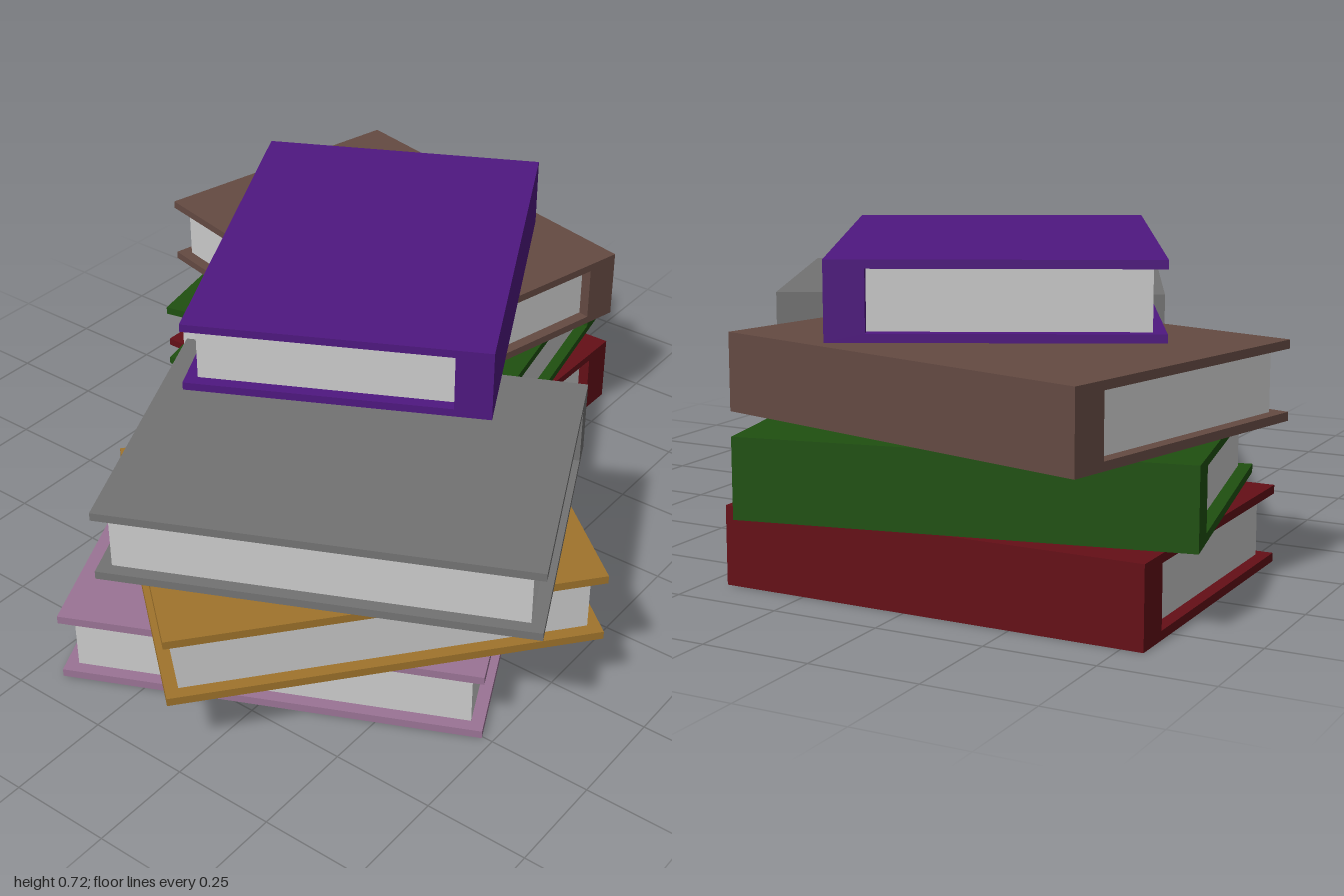
import * as THREE from 'three';

const W = 0.742, L = 1.0, H = 0.181; // book width, length, thickness
const BOARD = 0.02, SPINE = 0.09, INSET = 0.03;

// C-shaped cover profile, spine on +x, extruded along z
function coverGeometry() {
  const a = W / 2, s = a - SPINE;
  const shape = new THREE.Shape([
    [-a, 0], [a, 0], [a, H], [-a, H],
    [-a, H - BOARD], [s, H - BOARD], [s, BOARD], [-a, BOARD],
  ].map(([x, y]) => new THREE.Vector2(x, y)));
  const geo = new THREE.ExtrudeGeometry(shape, { depth: L, bevelEnabled: false });
  return geo.translate(0, 0, -L / 2);
}

// Page block, set back from the cover on three sides
function pagesGeometry() {
  const w = W - SPINE - INSET;
  const geo = new THREE.BoxGeometry(w, H - 2 * BOARD, L - 2 * INSET);
  return geo.translate((INSET - SPINE) / 2, H / 2, 0);
}

export function createModel() {
  const model = new THREE.Group();
  model.name = 'bookStacks';
  const cover = coverGeometry(), pages = pagesGeometry();
  const paper = new THREE.MeshStandardMaterial({ color: 0xcccccc });

  // name, colour, x, z, level in the stack, turn in degrees
  const books = [
    ['redBook', 0x640f17, 0.518, -0.3, 0, 0],
    ['greenBook', 0x1f5010, 0.518, -0.3, 1, 12.2],
    ['brownBook', 0x644a42, 0.52, -0.3, 2, -13.6],
    ['lavenderBook', 0x9a7495, -0.38, 0.115, 0, 25],
    ['ochreBook', 0xa0742c, -0.377, 0.26, 1, 50.2],
    ['greyBook', 0x737373, -0.38, 0.257, 2, 25],
    ['purpleBook', 0x4f1880, 0.178, -0.102, 3, -63],
  ];

  for (const [name, color, x, z, level, turn] of books) {
    const book = new THREE.Group();
    book.name = name;
    const coverMesh = new THREE.Mesh(cover, new THREE.MeshStandardMaterial({ color }));
    coverMesh.name = 'cover';
    const pageMesh = new THREE.Mesh(pages, paper);
    pageMesh.name = 'pages';
    book.add(coverMesh, pageMesh);
    book.position.set(x, level * H, z);
    book.rotation.y = THREE.MathUtils.degToRad(turn);
    model.add(book);
  }
  return model;
}
